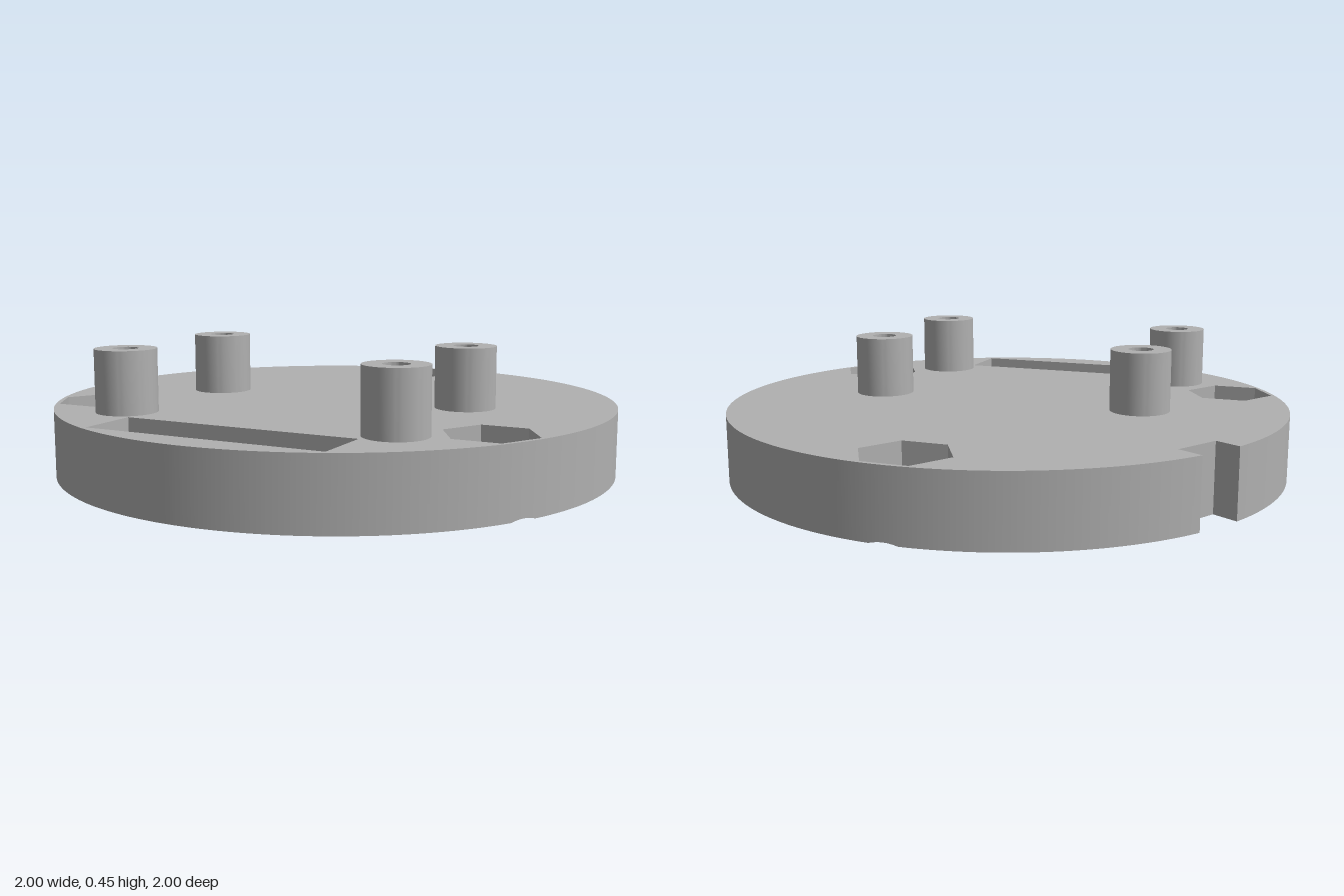
import * as THREE from 'three';
import { toCreasedNormals } from 'three/addons/utils/BufferGeometryUtils.js';

const H = 0.235;                       // plate thickness
const SINK_R = 0.156, SINK_H = 0.09;   // countersink
const BORE_R = 0.082, NUT_Y = 0.11, NUT_R = 0.155;
const HOLE_D = 0.85;                   // bolt circle radius
const TAU = Math.PI * 2, deg = Math.PI / 180;
const boltAngles = [210, 330, 450].map(a => a * deg);
const NOTCH = 150 * deg, NOTCH_W = 0.0855, NOTCH_R = 0.903;

// Plan coordinates (x, y) become (x, -z) in the model.
const polar = (cx, cy, r, a) => new THREE.Vector2(cx + r * Math.cos(a), cy + r * Math.sin(a));
const ring = (cx, cy, r, n) => Array.from({ length: n }, (_, i) => polar(cx, cy, r, i / n * TAU));
const at = (p, h) => [p.x, h, -p.y];

export function createModel() {
  const model = new THREE.Group();
  const grey = new THREE.MeshStandardMaterial({ color: 0xb0b0b0 });
  grey.name = 'grey';

  function add(name, geometry) {
    const mesh = new THREE.Mesh(geometry, grey);
    mesh.name = name;
    model.add(mesh);
    return mesh;
  }

  // Wall strip between two equal loops of 3D points; inward faces a hole.
  function wall(name, low, high, inward = false, closed = true) {
    const pos = [];
    const n = low.length;
    for (let i = 0; i < (closed ? n : n - 1); i++) {
      const j = (i + 1) % n;
      const [a, b, c, d] = inward
        ? [low[j], low[i], high[i], high[j]]
        : [low[i], low[j], high[j], high[i]];
      pos.push(...a, ...b, ...c, ...a, ...c, ...d);
    }
    const g = new THREE.BufferGeometry();
    g.setAttribute('position', new THREE.Float32BufferAttribute(pos, 3));
    add(name, toCreasedNormals(g, 0.5));
  }

  // Horizontal face from a plan shape
  function face(name, shape, y, down = false) {
    const g = new THREE.ShapeGeometry(shape, 96);
    if (down) {
      const idx = g.index.array;
      for (let i = 0; i < idx.length; i += 3) [idx[i], idx[i + 1]] = [idx[i + 1], idx[i]];
    }
    g.rotateX(-Math.PI / 2).translate(0, y, 0);
    g.computeVertexNormals();
    add(name, g);
  }

  const bolts = boltAngles.map(a => polar(0, 0, HOLE_D, a));
  const slot = [[-0.418, -0.89], [0.418, -0.89], [0.418, -0.68], [-0.418, -0.68]]
    .map(p => new THREE.Vector2(...p));

  // Rim outline, starting and ending at the notch
  const gap = Math.asin(NOTCH_W);
  const start = NOTCH + gap, end = NOTCH + TAU - gap;
  const rim = Array.from({ length: 721 }, (_, i) => polar(0, 0, 1, start + (end - start) * i / 720));
  const notch = [-NOTCH_W, NOTCH_W].map(t =>
    new THREE.Vector2(NOTCH_R, t).rotateAround(new THREE.Vector2(), NOTCH));

  // Top face with nut pockets and slot
  const top = new THREE.Shape([...rim, ...notch]);
  top.holes.push(new THREE.Path(slot));
  bolts.forEach(c => top.holes.push(new THREE.Path(ring(c.x, c.y, NUT_R, 6))));
  face('plateTop', top, H);

  // Underside: the countersinks just break through the rim
  const cross = (1 + HOLE_D ** 2 - SINK_R ** 2) / (2 * HOLE_D);
  const hubA = Math.acos(cross), sinkA = Math.acos((cross - HOLE_D) / SINK_R);
  const under = new THREE.Shape();
  let from = start;
  boltAngles.forEach((a, i) => {
    under.absarc(0, 0, 1, from, a - hubA, false);
    under.absarc(bolts[i].x, bolts[i].y, SINK_R, a - sinkA, a + sinkA - TAU, true);
    from = a + hubA;
  });
  under.absarc(0, 0, 1, from, end, false);
  notch.forEach(p => under.lineTo(p.x, p.y));
  under.holes.push(new THREE.Path(slot));
  face('plateUnderside', under, 0, true);

  // Rim, notch and slot walls
  const sinkHeight = d => Math.max(0, (SINK_R - d) / (SINK_R - BORE_R) * SINK_H);
  const rimLow = rim.map(p => at(p, sinkHeight(Math.min(...bolts.map(c => c.distanceTo(p))))));
  wall('plateRim', rimLow, rim.map(p => at(p, H)), false, false);
  const notchLine = [rim[720], ...notch, rim[0]];
  wall('rimNotch', notchLine.map(p => at(p, 0)), notchLine.map(p => at(p, H)), false, false);
  wall('slotWalls', slot.map(p => at(p, 0)), slot.map(p => at(p, H)), true);

  // Bolt holes: countersink, bore, pocket floor and hexagonal pocket
  bolts.forEach((c, k) => {
    const bore = ring(c.x, c.y, BORE_R, 96);
    const hex = ring(c.x, c.y, NUT_R, 6);
    const sinkLow = bore.map((_, i) => {
      const a = i / 96 * TAU;
      const along = HOLE_D * Math.cos(a - boltAngles[k]);
      const reach = -along + Math.sqrt(along ** 2 + 1 - HOLE_D ** 2);
      const r = Math.min(SINK_R, reach);
      return at(polar(c.x, c.y, r, a), sinkHeight(r));
    });
    wall('countersink', sinkLow, bore.map(p => at(p, SINK_H)), true);
    wall('boltBore', bore.map(p => at(p, SINK_H)), bore.map(p => at(p, NUT_Y)), true);
    const floor = new THREE.Shape(hex);
    floor.holes.push(new THREE.Path(bore));
    face('nutPocketFloor', floor, NUT_Y);
    wall('nutPocket', hex.map(p => at(p, NUT_Y)), hex.map(p => at(p, H)), true);
  });

  // Hollow standoff posts
  const profile = [[0.105, H], [0.105, 0.45], [0.043, 0.45], [0.043, H]]
    .map(p => new THREE.Vector2(...p));
  const post = toCreasedNormals(new THREE.LatheGeometry(profile, 64), 0.5);
  for (const x of [-0.495, 0.495]) {
    for (const z of [-0.01, 0.585]) add('standoffPost', post).position.set(x, 0, z);
  }

  return model;
}
